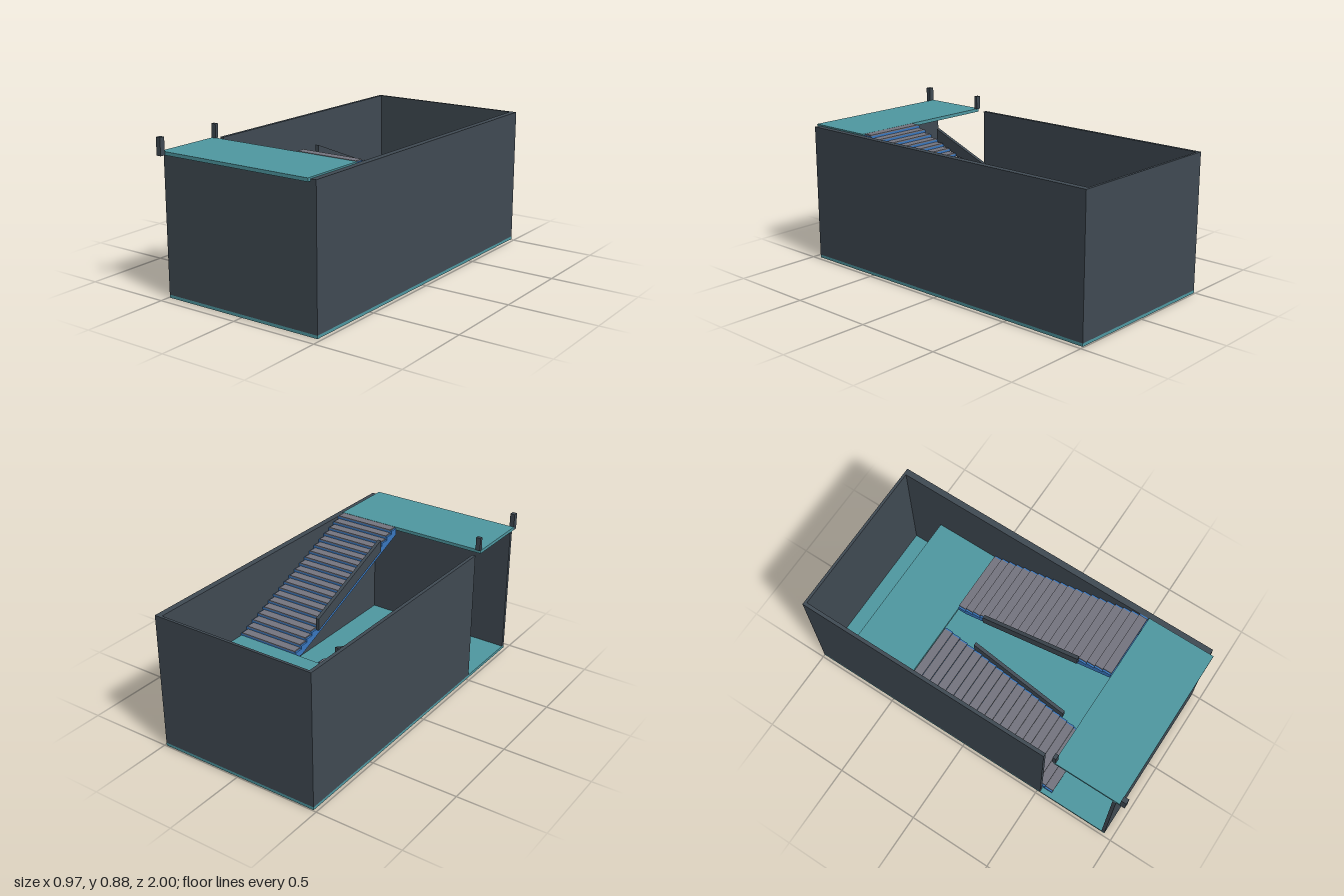
import * as THREE from 'three';

const paint = (color) => new THREE.MeshStandardMaterial({ color });
const teal = paint(0x4f98a1);
const dark = paint(0x404a53);
const blue = paint(0x3a78c0);
const grey = paint(0x74757f);

// Box given by its limits on each axis
function block(parent, name, material, [x0, x1], [y0, y1], [z0, z1]) {
  const mesh = new THREE.Mesh(new THREE.BoxGeometry(x1 - x0, y1 - y0, z1 - z0), material);
  mesh.position.set((x0 + x1) / 2, (y0 + y1) / 2, (z0 + z1) / 2);
  mesh.name = name;
  parent.add(mesh);
  return mesh;
}

// Outline in the x-y plane, extruded to a width centred on z
function slab(parent, name, material, points, width, z = 0) {
  const shape = new THREE.Shape(points.map(([x, y]) => new THREE.Vector2(x, y)));
  const geometry = new THREE.ExtrudeGeometry(shape, { depth: width, bevelEnabled: false });
  geometry.translate(0, 0, z - width / 2);
  const mesh = new THREE.Mesh(geometry, material);
  mesh.name = name;
  parent.add(mesh);
}

// Flight climbing along local +x, with its balustrade on local +z
function flight(name, width) {
  const group = new THREE.Group();
  group.name = name;
  const run = 0.97, rise = 0.389, steps = 20, thick = 0.007;
  const going = run / steps, riser = rise / steps;

  // Saw-tooth carriage with a sloping underside
  const outline = [[0, -0.022]];
  for (let i = 0; i < steps; i++) {
    const y = (i + 1) * riser - thick;
    outline.push([i * going, y], [(i + 1) * going, y]);
  }
  outline.push([run, rise - 0.045], [0.05, -0.022]);
  slab(group, 'stairCarriage', blue, outline, width);

  // Treads
  for (let i = 0; i < steps; i++) {
    const top = (i + 1) * riser;
    block(group, 'tread', grey, [i * going - 0.002, (i + 1) * going],
      [top - thick, top], [-width / 2 + 0.01, width / 2 - 0.01]);
  }

  // Sloping balustrade panel
  const [a, b] = [0.18, 0.78];
  const line = (x) => x * rise / run;
  slab(group, 'balustrade', dark,
    [[a, line(a)], [b, line(b)], [b, line(b) + 0.07], [a, line(a) + 0.07]],
    0.02, width / 2 + 0.01);
  return group;
}

export function createModel() {
  const model = new THREE.Group();
  model.name = 'stairwell';

  // Floor and landings
  block(model, 'floor', teal, [-0.485, 0.485], [0.005, 0.022], [-1, 0.95]);
  block(model, 'middleLanding', teal, [-0.465, 0.447], [0.39, 0.41], [-0.775, -0.395]);
  block(model, 'upperLanding', teal, [-0.485, 0.452], [0.779, 0.798], [0.58, 0.97]);

  // Walls, with an entrance left open at the front of the right-hand side
  const height = [0.022, 0.79];
  block(model, 'leftWall', dark, [0.45, 0.485], height, [-1, 0.95]);
  block(model, 'rightWall', dark, [-0.485, -0.465], height, [-0.985, 0.52]);
  block(model, 'backWall', dark, [-0.485, 0.45], height, [-1, -0.985]);
  block(model, 'frontWall', dark, [-0.485, 0.45], [0.022, 0.779], [0.93, 0.95]);

  // Two flights running in opposite directions
  const lower = flight('lowerFlight', 0.39);
  lower.position.set(-0.26, 0.022, 0.58);
  lower.rotation.y = Math.PI / 2;
  const upper = flight('upperFlight', 0.38);
  upper.position.set(0.26, 0.41, -0.395);
  upper.rotation.y = -Math.PI / 2;
  model.add(lower, upper);

  // Posts either side of the upper entrance
  block(model, 'frontPost', dark, [-0.485, -0.457], [0.779, 0.875], [0.97, 1]);
  block(model, 'rearPost', dark, [-0.485, -0.457], [0.798, 0.875], [0.57, 0.59]);

  return model;
}
